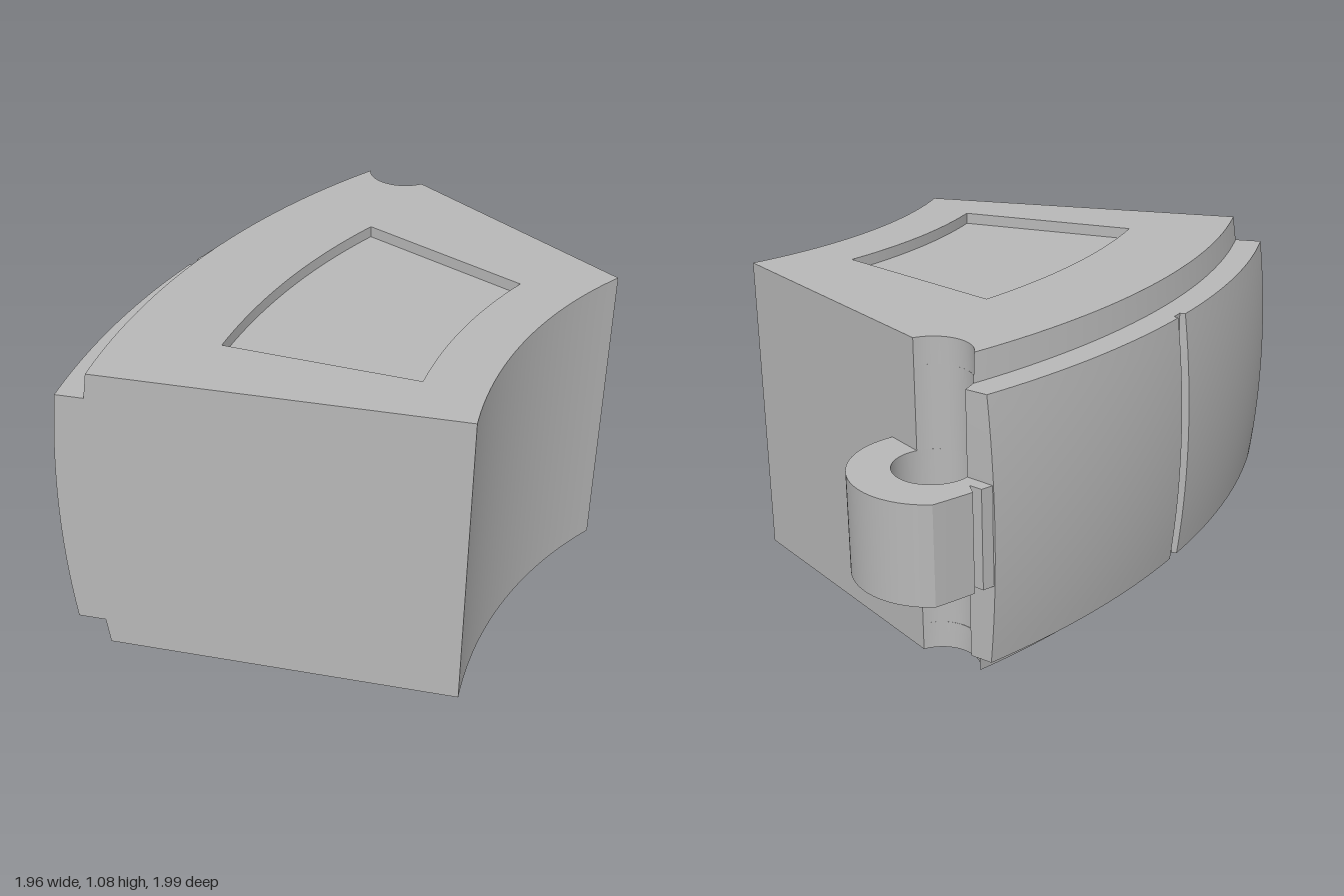
import * as THREE from 'three';
import { toCreasedNormals } from 'three/addons/utils/BufferGeometryUtils.js';

const RAD = Math.PI / 180;
const CENTRE = [1.607, 1.814];            // shared centre of all arcs, in x and z
const HINGE = [0.575, -0.745];            // hinge pin centre
const PIN_R = 0.13, LUG_R = 0.265, HEIGHT = 1.08;
const LEFT = 30 * RAD, RIGHT = 67.5 * RAD, MIDDLE = 48.75 * RAD;

const polar = (r, a) => [CENTRE[0] - r * Math.cos(a), CENTRE[1] - r * Math.sin(a)];
const angleOf = ([x, z]) => Math.atan2(CENTRE[1] - z, CENTRE[0] - x);
const HINGE_DIST = Math.hypot(HINGE[0] - CENTRE[0], HINGE[1] - CENTRE[1]);

// n + 1 points of f between a and b
function sweep(f, a, b, n) {
  return Array.from({ length: n + 1 }, (_, i) => f(a + (b - a) * i / n));
}
const arc = (r, a, b, n) => sweep(t => polar(r, t), a, b, n);

// Point on a circle round the hinge; 0 points away from CENTRE, positive turns towards the body
function hingePoint(r, phi) {
  const u = [(HINGE[0] - CENTRE[0]) / HINGE_DIST, (HINGE[1] - CENTRE[1]) / HINGE_DIST];
  const c = r * Math.cos(phi), s = r * Math.sin(phi);
  return [HINGE[0] + c * u[0] + s * u[1], HINGE[1] + c * u[1] - s * u[0]];
}
// Hinge angle at which a hinge circle of radius r meets the arc of radius R
const meet = (R, r) => Math.acos((R * R - HINGE_DIST ** 2 - r * r) / (2 * HINGE_DIST * r));

// Side walls through stacked outlines with equal point counts
function loft(sections) {
  const pos = [];
  for (let k = 0; k + 1 < sections.length; k++) {
    const lo = sections[k], hi = sections[k + 1], n = lo.pts.length;
    for (let i = 0; i < n; i++) {
      const j = (i + 1) % n;
      const v = (s, m) => [s.pts[m][0], s.y, s.pts[m][1]];
      pos.push(...v(lo, i), ...v(lo, j), ...v(hi, j), ...v(lo, i), ...v(hi, j), ...v(hi, i));
    }
  }
  const geo = new THREE.BufferGeometry();
  geo.setAttribute('position', new THREE.Float32BufferAttribute(pos, 3));
  return toCreasedNormals(geo, 0.4);
}

// Flat horizontal face, optionally with a hole
function flat(pts, y, up, hole) {
  const to2 = list => list.map(([x, z]) => new THREE.Vector2(x, up ? -z : z));
  const shape = new THREE.Shape(to2(pts));
  if (hole) shape.holes.push(new THREE.Path(to2(hole)));
  return new THREE.ShapeGeometry(shape).rotateX(up ? -Math.PI / 2 : Math.PI / 2).translate(0, y, 0);
}

// Plan outline of the block for one outer radius
function bodyOutline(R) {
  const isRim = R > 2.9;
  const pinEnd = isRim ? 15.4 * RAD : meet(R, PIN_R);
  const end = isRim ? 66.9 * RAD : angleOf(hingePoint(PIN_R, pinEnd));
  const grooveR = Math.min(R, 2.94), half = 0.0085;
  return [
    ...arc(1.645, LEFT, RIGHT, 32),
    ...sweep(p => hingePoint(PIN_R, p), 169.4 * RAD, pinEnd, 20),
    ...arc(R, end, MIDDLE + half, 20),
    polar(grooveR, MIDDLE + half * 0.8),
    polar(grooveR, MIDDLE - half * 0.8),
    ...arc(R, MIDDLE - half, LEFT, 20),
  ];
}

export function createModel() {
  const group = new THREE.Group();
  const grey = new THREE.MeshStandardMaterial({ color: 0xb8b8b8 });
  grey.name = 'plain grey';
  const add = (name, geo) => {
    const mesh = new THREE.Mesh(geo, grey);
    mesh.name = name;
    group.add(mesh);
  };

  // Block walls with the stepped, slightly bulging outer rim
  const rimLow = 0.095, rimHigh = 0.99, mid = (rimLow + rimHigh) / 2;
  const rim = sweep(y => ({
    y, pts: bodyOutline(2.958 + 0.029 * (1 - ((y - mid) / (mid - rimLow)) ** 2)),
  }), rimLow, rimHigh, 14);
  add('blockWalls', loft([
    { y: 0, pts: bodyOutline(2.849) },
    { y: rimLow, pts: bodyOutline(2.862) },
    ...rim,
    { y: rimHigh, pts: bodyOutline(2.862) },
    { y: HEIGHT, pts: bodyOutline(2.849) },
  ]));

  // Top and bottom faces, each with a shallow recess
  const recess = [...arc(1.848, 36 * RAD, 58.5 * RAD, 20), ...arc(2.505, 58.5 * RAD, 36 * RAD, 20)];
  const inward = [...recess].reverse();
  const depth = 0.04;
  for (const up of [true, false]) {
    const side = up ? 'top' : 'bottom';
    const y = up ? HEIGHT : 0, floor = up ? HEIGHT - depth : depth;
    add(side + 'Face', flat(bodyOutline(2.849), y, up, recess));
    add(side + 'RecessFloor', flat(recess, floor, up));
    add(side + 'RecessWalls', loft([
      { y: Math.min(y, floor), pts: inward }, { y: Math.max(y, floor), pts: inward },
    ]));
  }

  // Hinge lug: ring that continues the rim, with a small notch
  const lugArc = 2.98;
  const tip = hingePoint(LUG_R, -meet(lugArc, LUG_R));
  const lug = [
    [0.38, -0.75], [0.5, -0.5],
    ...sweep(p => hingePoint(LUG_R, p), -185 * RAD, -meet(lugArc, LUG_R), 40),
    ...arc(lugArc, angleOf(tip), 68.3 * RAD, 6),
    [0.503, -0.907],
    ...arc(lugArc, 67.7 * RAD, 66.7 * RAD, 2),
  ];
  const pinHole = sweep(p => hingePoint(PIN_R, p), 0, 351 * RAD, 39);
  const low = 0.375, high = 0.71;
  add('hingeLugWalls', loft([{ y: low, pts: lug }, { y: high, pts: lug }]));
  // pin hole points already run so that their walls face the pin
  const hole = THREE.ShapeUtils.area(pinHole.map(([x, z]) => new THREE.Vector2(x, -z))) > 0
    ? [...pinHole].reverse() : pinHole;
  add('hingePinHole', loft([{ y: low, pts: hole }, { y: high, pts: hole }]));
  add('hingeLugTop', flat(lug, high, true, pinHole));
  add('hingeLugBottom', flat(lug, low, false, pinHole));

  return group;
}
